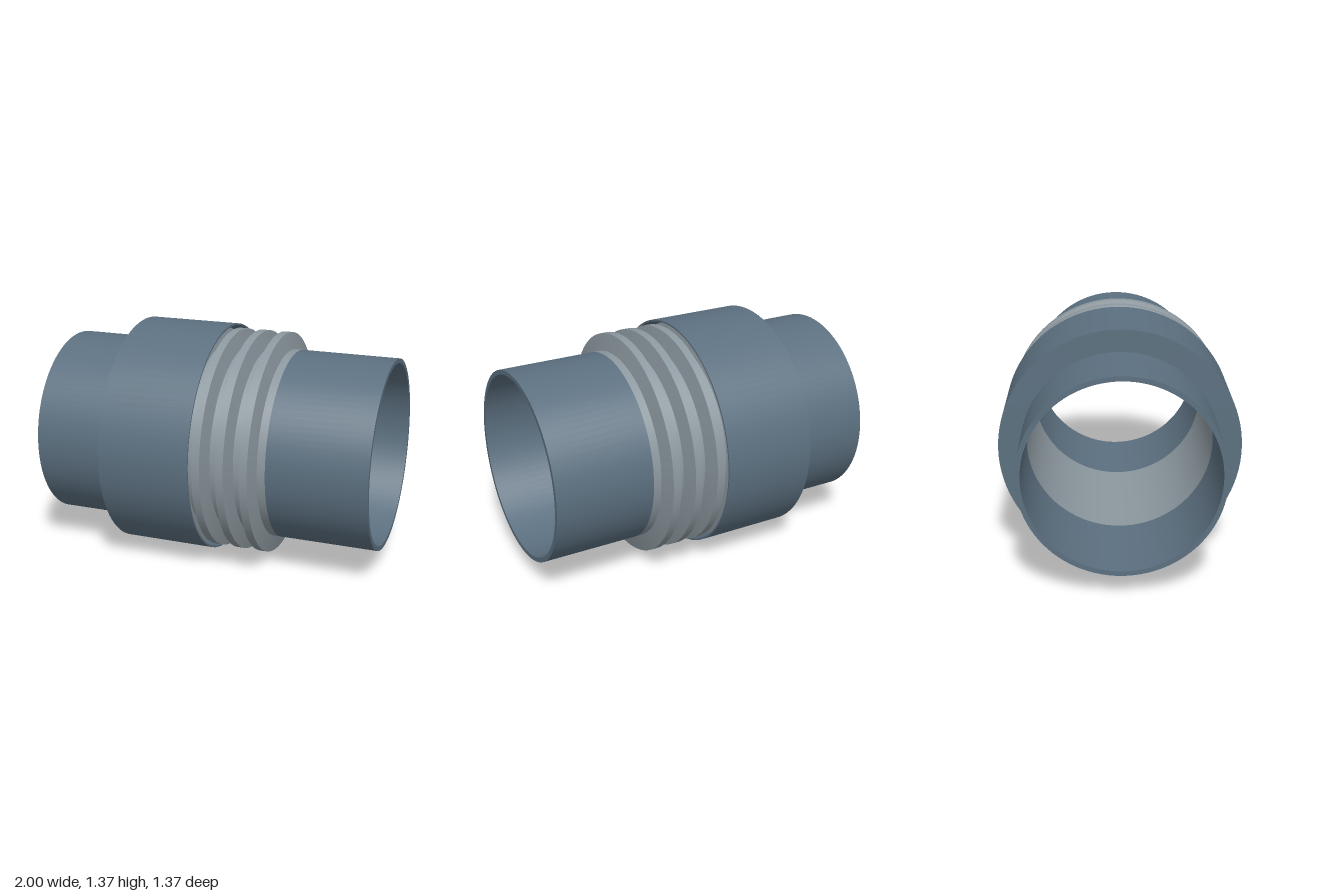
import * as THREE from 'three';
import { mergeGeometries } from 'three/addons/utils/BufferGeometryUtils.js';

const AXIS_HEIGHT = 0.685;
const OUTER = 0.56, INNER = 0.533;
const SLEEVE_R = 0.685, SLEEVE_IN = 0.675;
const BELLOWS_END = 0.42;

const blue = new THREE.MeshStandardMaterial({ color: 0x5c7080 });
const grey = new THREE.MeshStandardMaterial({ color: 0x8c989f });

// Revolves a closed [x, radius] outline about the x axis, with a sharp edge at every corner.
// The outline runs towards +x on the outside and returns on the inside.
function revolve(name, outline, material) {
  const bands = outline.map((a, i) => {
    const b = outline[(i + 1) % outline.length];
    return new THREE.LatheGeometry([a, b].map(([x, r]) => new THREE.Vector2(r, x)), 96);
  });
  const geometry = mergeGeometries(bands);
  geometry.rotateZ(-Math.PI / 2);
  const mesh = new THREE.Mesh(geometry, material);
  mesh.name = name;
  mesh.position.y = AXIS_HEIGHT;
  return mesh;
}

const tube = (name, x0, x1) =>
  revolve(name, [[x0, OUTER], [x1, OUTER], [x1, INNER], [x0, INNER]], blue);

export function createModel() {
  const group = new THREE.Group();
  group.name = 'expansionJoint';

  // Pipe stubs on either side of the bellows
  group.add(tube('rightPipe', -1, -BELLOWS_END));
  group.add(tube('leftPipe', BELLOWS_END, 1));

  // Bellows: six trapezoid ridges, each followed by a flat valley
  const pitch = (2 * BELLOWS_END) / 6;
  const outline = [];
  for (let i = 0; i < 6; i++) {
    const x = -BELLOWS_END + i * pitch;
    outline.push([x, OUTER], [x + 0.023, 0.66], [x + 0.07, 0.66], [x + 0.093, OUTER]);
  }
  outline.push([BELLOWS_END, OUTER], [BELLOWS_END, INNER], [-BELLOWS_END, INNER]);
  group.add(revolve('bellows', outline, grey));

  // Guard sleeve: closed onto the pipe at one end, open over the bellows at the other
  group.add(revolve('guardSleeve', [
    [-0.54, OUTER - 0.005], [-0.54, SLEEVE_R], [0.01, SLEEVE_R],
    [0.01, SLEEVE_IN], [-0.53, SLEEVE_IN], [-0.53, OUTER - 0.005],
  ], blue));

  return group;
}
